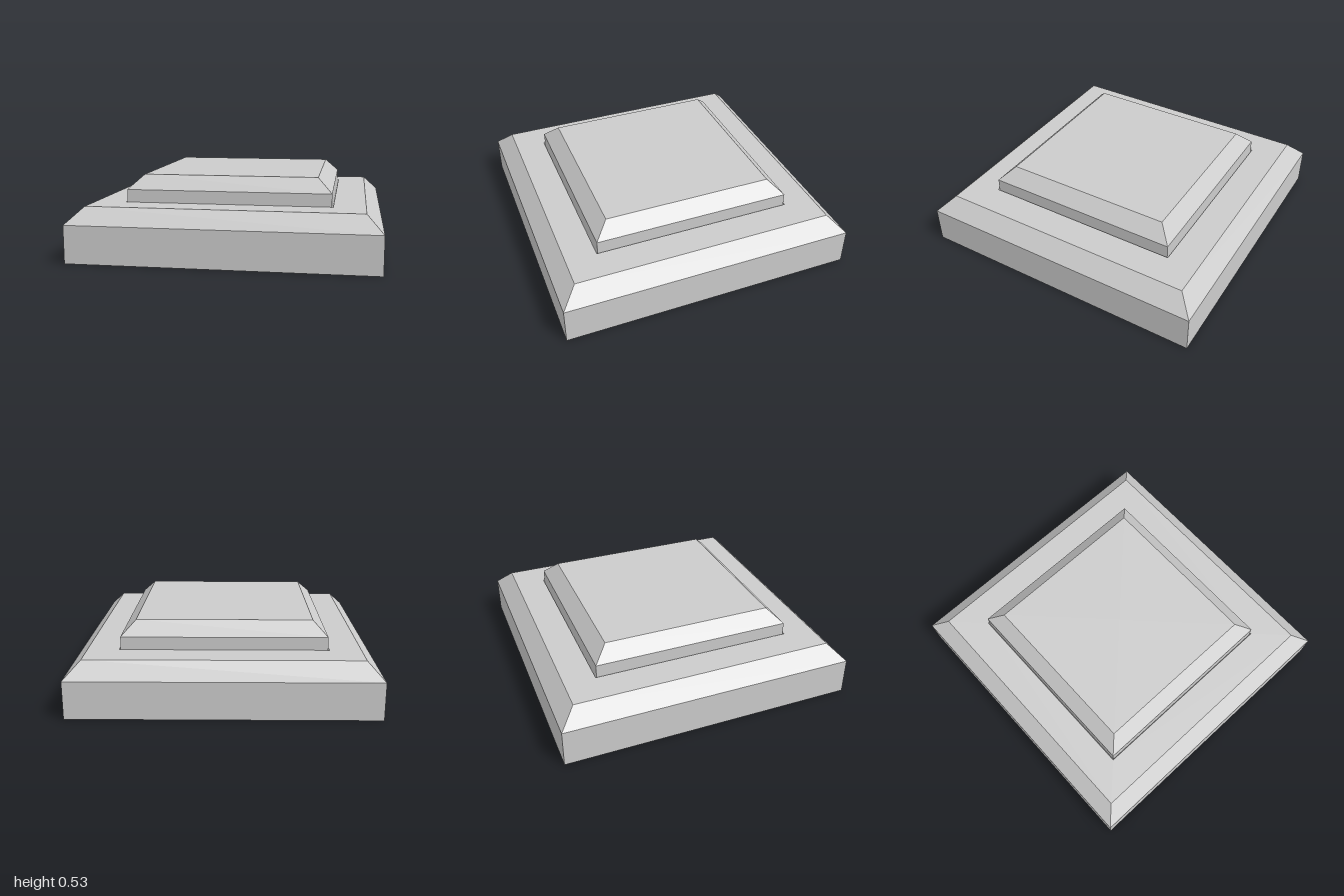
import * as THREE from 'three';

const material = new THREE.MeshStandardMaterial({ color: 0xcccccc, flatShading: true, side: THREE.DoubleSide });

// Sweeps a [half width, height] profile around a square plan
function squareShell(name, profile) {
  const points = profile.map(([half, y]) => new THREE.Vector2(half * Math.SQRT2, y));
  const geometry = new THREE.LatheGeometry(points, 4, Math.PI / 4).toNonIndexed();
  geometry.computeVertexNormals();
  const mesh = new THREE.Mesh(geometry, material);
  mesh.name = name;
  return mesh;
}

export function createModel() {
  const group = new THREE.Group();
  group.name = 'steppedPlinth';

  // Hollow base: wall, bevel, ledge and a shallow tapered socket, open underneath
  group.add(squareShell('base', [
    [1, 0], [1, 0.25], [0.893, 0.357], [0.685, 0.357], [0.655, 0.23], [0, 0.23],
  ]));

  // Bevelled upper step standing in the socket
  group.add(squareShell('upperStep', [
    [0.677, 0.32], [0.677, 0.44], [0.582, 0.533], [0, 0.533],
  ]));

  return group;
}
